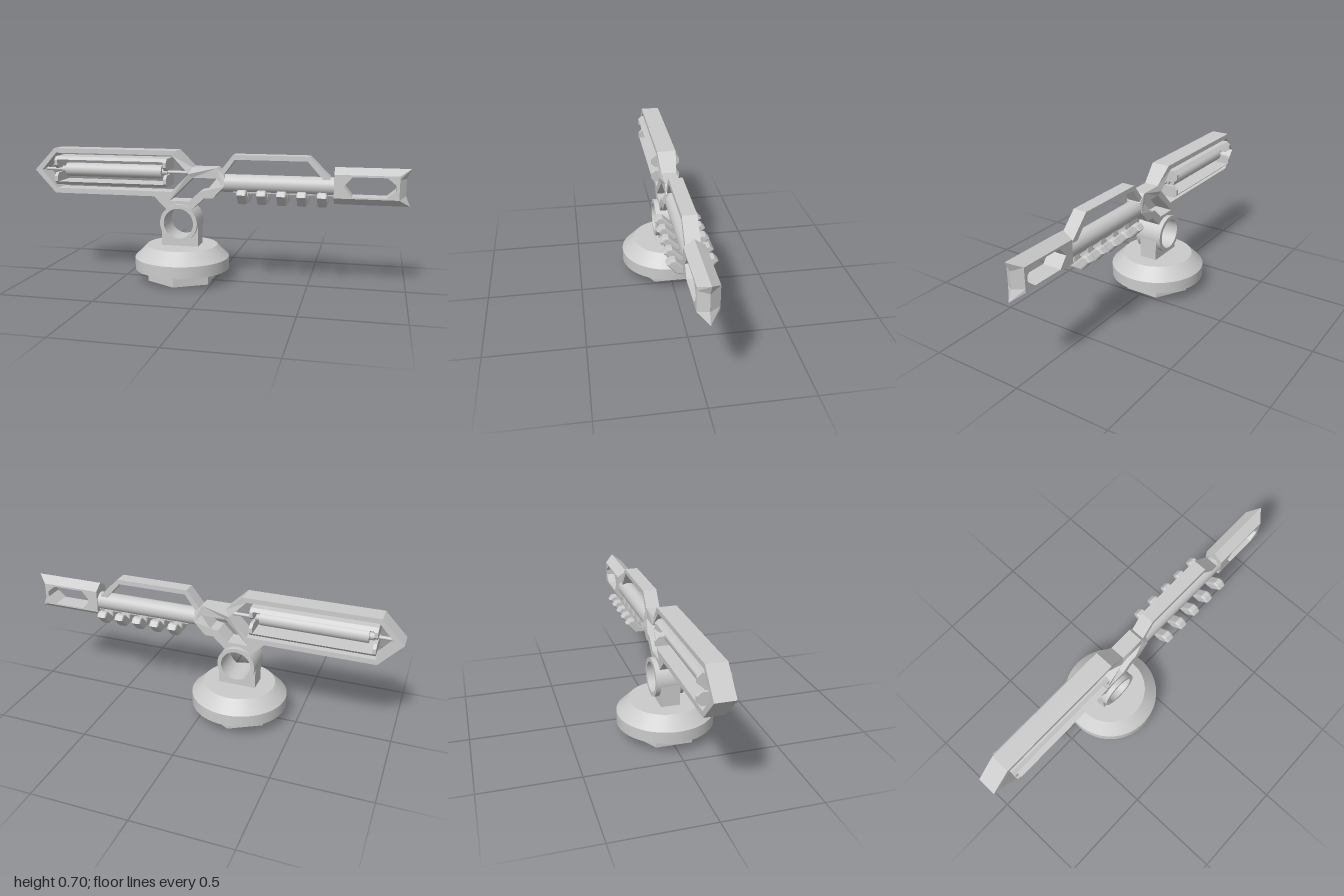
import * as THREE from 'three';

const grey = new THREE.MeshStandardMaterial({ color: 0xcccccc });
const PIVOT_X = -0.18, PIVOT_Y = 0.318;

const poly = (pts, Kind = THREE.Shape) => new Kind(pts.map(([x, y]) => new THREE.Vector2(x, y)));

// Slab of an x-y outline, centred on z = 0
function slab(outline, holes, depth, steps = 1) {
  const shape = poly(outline);
  holes.forEach((h) => shape.holes.push(h));
  const geo = new THREE.ExtrudeGeometry(shape, { depth, steps, bevelEnabled: false, curveSegments: 24 });
  return geo.translate(0, 0, -depth / 2);
}

// Slab of a z-y outline, running along x from x0
function crossSlab(outline, x0, length, bevel = 0) {
  const geo = new THREE.ExtrudeGeometry(poly(outline), {
    depth: length - 2 * bevel, bevelEnabled: bevel > 0,
    bevelSize: bevel, bevelThickness: bevel, bevelOffset: -bevel, bevelSegments: 2,
  });
  return geo.rotateY(Math.PI / 2).translate(x0 + bevel, 0, 0);
}

function rodX(radius, x0, x1, y, sides = 32) {
  return new THREE.CylinderGeometry(radius, radius, x1 - x0, sides)
    .rotateZ(Math.PI / 2).translate((x0 + x1) / 2, y, 0);
}

// Moves vertices by a rule
function warp(geo, rule) {
  const p = geo.attributes.position, v = new THREE.Vector3();
  for (let i = 0; i < p.count; i++) {
    rule(v.fromBufferAttribute(p, i));
    p.setXYZ(i, v.x, v.y, v.z);
  }
  geo.computeVertexNormals();
  return geo;
}

export function createModel() {
  const model = new THREE.Group();
  const add = (name, geo, parent = model) => {
    const mesh = new THREE.Mesh(geo, grey);
    mesh.name = name;
    parent.add(mesh);
    return mesh;
  };
  const group = (name) => {
    const g = new THREE.Group();
    g.name = name;
    model.add(g);
    return g;
  };
  const circle = (r) => new THREE.Path().absarc(PIVOT_X, PIVOT_Y, r, 0, Math.PI * 2, true);

  // Base: hexagonal plug, disc and sloped shoulder
  const base = group('base');
  add('hexPlug', new THREE.CylinderGeometry(0.19, 0.19, 0.065, 6).toNonIndexed().translate(PIVOT_X, 0.0325, 0), base)
    .geometry.computeVertexNormals();
  add('disc', new THREE.CylinderGeometry(0.254, 0.254, 0.063, 64).translate(PIVOT_X, 0.0965, 0), base);
  add('shoulder', new THREE.CylinderGeometry(0.19, 0.254, 0.064, 64).translate(PIVOT_X, 0.16, 0), base);

  // Pivot: post with a through hole, and a wider ring around it
  add('post', slab([[-0.28, 0.19], [-0.08, 0.19], [-0.08, PIVOT_Y], [-0.12, 0.395], [-0.18, 0.412],
    [-0.24, 0.395], [-0.28, PIVOT_Y]], [circle(0.08)], 0.1));
  const ring = new THREE.Shape().absarc(PIVOT_X, PIVOT_Y, 0.101, 0, Math.PI * 2, false);
  ring.holes.push(circle(0.08));
  add('pivotRing', new THREE.ExtrudeGeometry(ring, { depth: 0.15, bevelEnabled: false, curveSegments: 48 })
    .translate(0, 0, -0.075));

  // Long pointed frame with the open neck
  const frame = slab(
    [[-1, 0.58], [-0.885, 0.455], [-0.32, 0.455], [-0.25, 0.385], [-0.18, 0.405], [-0.12, 0.385],
      [-0.045, 0.455], [0, 0.455], [0.06, 0.52], [0.06, 0.575], [0.02, 0.615], [-0.11, 0.615],
      [-0.2, 0.7], [-0.885, 0.7]],
    [
      poly([[-0.96, 0.58], [-0.875, 0.675], [-0.22, 0.675], [-0.13, 0.58], [-0.225, 0.482], [-0.875, 0.482]], THREE.Path),
      poly([[-0.235, 0.435], [-0.11, 0.56], [0.02, 0.56], [-0.03, 0.498], [-0.07, 0.49], [-0.125, 0.435]], THREE.Path),
    ], 0.1);
  add('frame', warp(frame, (v) => { if (v.x > -0.115 && v.y > 0.54) v.z *= 0.8; }));

  // Cell held inside the frame
  const cell = group('cell');
  add('axle', rodX(0.009, -0.965, -0.12, 0.581, 16), cell);
  add('tube', rodX(0.037, -0.83, -0.285, 0.581), cell);
  for (const x of [-0.858, -0.285]) add('socket', rodX(0.018, x, x + 0.028, 0.581, 16), cell);

  // Two clips, above and below the cell, with chamfered ends
  for (const s of [1, -1]) {
    const y = (d) => 0.581 + s * d;
    const clipEnd = [[0.055, 0.012], [0.076, 0.03], [0.076, 0.057], [0.056, 0.076],
      [-0.056, 0.076], [-0.076, 0.057], [-0.076, 0.03], [-0.055, 0.012]].map(([z, d]) => [z, y(d)]);
    for (const x of [-0.875, -0.262]) add('clipEnd', crossSlab(clipEnd, x, 0.017), cell);
    const bar = [[0.056, 0.076], [0.072, 0.06], [-0.072, 0.06], [-0.056, 0.076]].map(([z, d]) => [z, y(d)]);
    add('clipBar', crossSlab(bar, -0.86, 0.6), cell);
  }

  // Barrel and carrying handle
  add('barrel', rodX(0.047, 0.04, 0.64, 0.533));
  add('barrelKeel', new THREE.BoxGeometry(0.52, 0.035, 0.05).translate(0.365, 0.504, 0));
  add('handle', slab(
    [[0.015, 0.57], [0.05, 0.57], [0.115, 0.66], [0.49, 0.66], [0.57, 0.57], [0.605, 0.57], [0.605, 0.58],
      [0.5, 0.685], [0.105, 0.685]], [], 0.072));

  // Row of V-shaped pegs under the barrel
  const half = [[0.07, 0.435], [0.12, 0.488], [0.1, 0.511], [0.077, 0.511], [0.032, 0.466], [0.026, 0.505]];
  const peg = [...half, ...half.map(([z, y]) => [-z, y]).reverse()];
  const pegs = group('pegs');
  for (let i = 0; i < 5; i++) add('peg', crossSlab(peg, 0.137 + i * 0.102, 0.05, 0.009), pegs);

  // Muzzle: windowed block drawn out to ridges along its middle plane
  const windowHole = poly([[0.672, 0.54], [0.715, 0.59], [0.885, 0.59], [0.928, 0.555], [0.928, 0.525],
    [0.885, 0.488], [0.715, 0.488]], THREE.Path);
  const muzzle = slab([[0.625, 0.48], [0.945, 0.48], [0.945, 0.497], [0.945, 0.583], [0.945, 0.6], [0.625, 0.6]],
    [windowHole], 0.1, 2);
  add('muzzle', warp(muzzle, (v) => {
    if (Math.abs(v.z) > 0.01) return;
    const end = v.x > 0.944;
    if (v.y > 0.599) v.y = 0.633;
    else if (v.y < 0.481) v.y = 0.443;
    else if (end) v.x = 0.978;
    if (end && (v.y > 0.6 || v.y < 0.48)) v.x = 1;
  }));

  return model;
}
